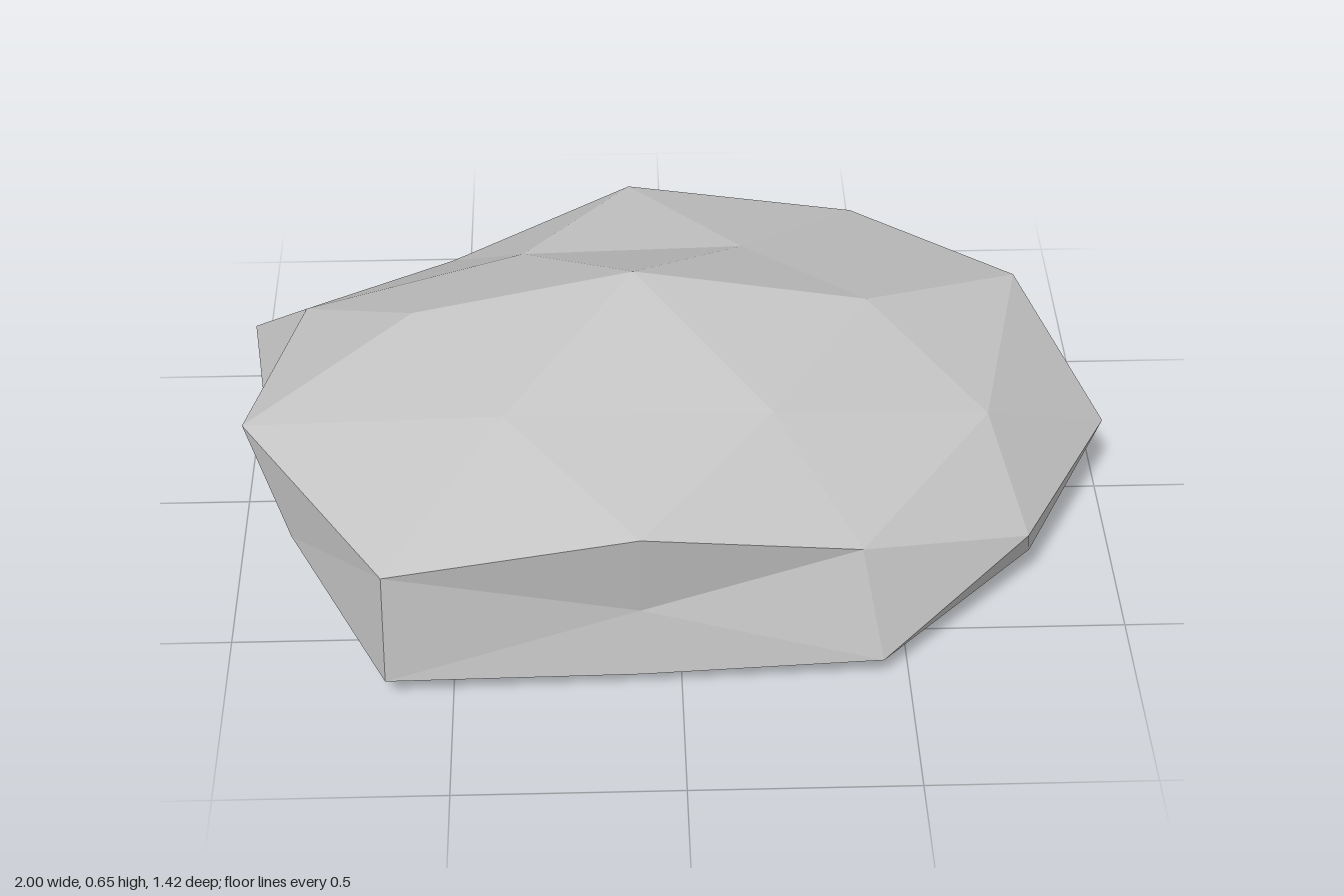
import * as THREE from 'three';

// Radius of each vertex of a once-divided icosahedron. Keys are the rounded
// direction (tenths, unsigned); values run through the signs of its
// non-zero components: +++, ++-, +-+, +--, -++, -+-, --+, ---.
const RADII = {
  '10,0,0': [1.09, 0.85],
  '0,10,0': [1.055, 0.945],
  '0,0,10': [0.83, 0.933],
  '5,9,0': [1.0, 1.03, 0.95, 1.03],
  '0,5,9': [1.04, 1.03, 1.01, 1.03],
  '9,0,5': [1.02, 0.99, 0.905, 1.07],
  '8,5,3': [0.97, 1.11, 1.11, 0.9, 1.075, 0.94, 0.915, 0.9],
  '5,3,8': [0.96, 1.095, 1.06, 0.867, 1.1, 0.86, 1.11, 0.845],
  '3,8,5': [0.955, 0.84, 1.07, 1.06, 0.94, 0.82, 1.08, 1.06],
};

const CENTRE = new THREE.Vector3(-0.09, 0.208, 0.015);
const SCALE = new THREE.Vector3(1, 0.42, 0.777);
const FLOOR = -0.142; // below this height the underside is flattened

function radiusFor(d) {
  const parts = d.toArray();
  const key = parts.map((v) => Math.round(Math.abs(v) * 10)).join(',');
  let index = 0;
  for (const v of parts) if (Math.abs(v) > 0.01) index = index * 2 + (v < 0 ? 1 : 0);
  return RADII[key][index];
}

export function createModel() {
  const stone = new THREE.MeshStandardMaterial({ color: 0xc3c3c3, flatShading: true });
  stone.name = 'pale stone grey';

  // Faceted boulder: push vertices in and out, squash, flatten the underside
  const geometry = new THREE.IcosahedronGeometry(1, 1);
  const position = geometry.attributes.position;
  const p = new THREE.Vector3();
  for (let i = 0; i < position.count; i++) {
    p.fromBufferAttribute(position, i).normalize();
    p.multiplyScalar(radiusFor(p)).multiply(SCALE);
    if (p.y < FLOOR) p.y = FLOOR + (p.y - FLOOR) * 0.26;
    p.add(CENTRE);
    position.setXYZ(i, p.x, p.y, p.z);
  }
  geometry.computeVertexNormals();

  const rock = new THREE.Mesh(geometry, stone);
  rock.name = 'rock';
  const group = new THREE.Group();
  group.name = 'boulder';
  group.add(rock);
  return group;
}
